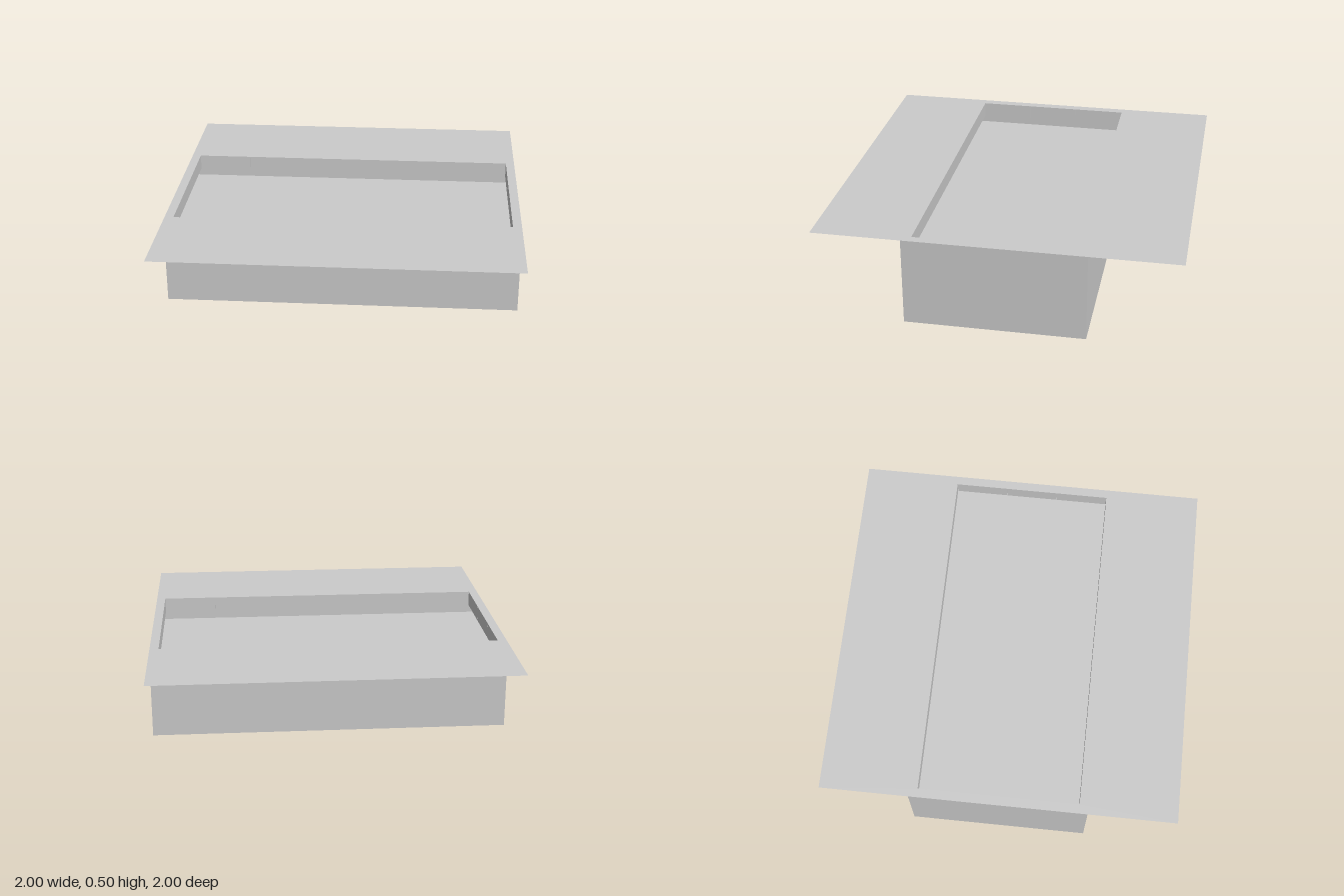
import * as THREE from 'three';

const TOP = 0.5, FLOOR = 0.35, LIP = 0.085;   // rim height, sunken floor height, lip depth
const HX = 0.95, HZ = 0.452;                  // half size of the opening

const solid = new THREE.MeshStandardMaterial({ color: 0xcccccc, flatShading: true });
const sheet = new THREE.MeshStandardMaterial({ color: 0xcccccc, flatShading: true, side: THREE.DoubleSide });

function add(parent, name, geometry, material, x = 0, y = 0, z = 0) {
  const mesh = new THREE.Mesh(geometry, material);
  mesh.name = name;
  mesh.position.set(x, y, z);
  parent.add(mesh);
  return mesh;
}

// Lip boxes between two points along one axis, split at the given seams
function lipRun(parent, name, stops, along) {
  const gap = 0.002, thick = 0.046;
  for (let i = 0; i < stops.length - 1; i++) {
    const len = stops[i + 1] - stops[i] - gap, mid = (stops[i] + stops[i + 1]) / 2;
    const y = TOP - 0.001 - LIP / 2;
    if (along === 'x') add(parent, name, new THREE.BoxGeometry(len, LIP, thick), solid, mid, y, -HZ - thick / 2);
    else add(parent, name, new THREE.BoxGeometry(thick, LIP, len), solid, -HX - thick / 2, y, mid);
  }
}

export function createModel() {
  const model = new THREE.Group();
  model.name = 'recessedTable';

  // Solid body up to the sunken floor
  add(model, 'body', new THREE.BoxGeometry(2, FLOOR, 1), solid, 0, FLOOR / 2, 0);

  // Thin side walls from the floor to the rim
  const h = TOP - FLOOR, y = FLOOR + h / 2;
  for (const s of [-1, 1]) {
    add(model, 'longWall', new THREE.PlaneGeometry(2, h), sheet, 0, y, s * 0.5);
    add(model, 'endWall', new THREE.PlaneGeometry(1, h), sheet, s, y, 0).rotation.y = Math.PI / 2;
  }

  // Wide flat rim with a rectangular opening
  const outline = new THREE.Shape([[-1, -1], [1, -1], [1, 1], [-1, 1]].map(p => new THREE.Vector2(...p)));
  outline.holes.push(new THREE.Path([[-HX, -HZ], [-HX, HZ], [HX, HZ], [HX, -HZ]].map(p => new THREE.Vector2(...p))));
  add(model, 'rim', new THREE.ShapeGeometry(outline).rotateX(-Math.PI / 2), sheet, 0, TOP, 0);

  // Segmented lip hanging under the opening, repeated by a half turn
  for (const turn of [0, Math.PI]) {
    const half = new THREE.Group();
    half.name = 'lipHalf';
    half.rotation.y = turn;
    lipRun(half, 'longLip', [-HX, -HX + 0.31, HX], 'x');
    lipRun(half, 'endLip', [-HZ, -HZ / 3, HZ / 3, HZ], 'z');
    model.add(half);
  }
  return model;
}
